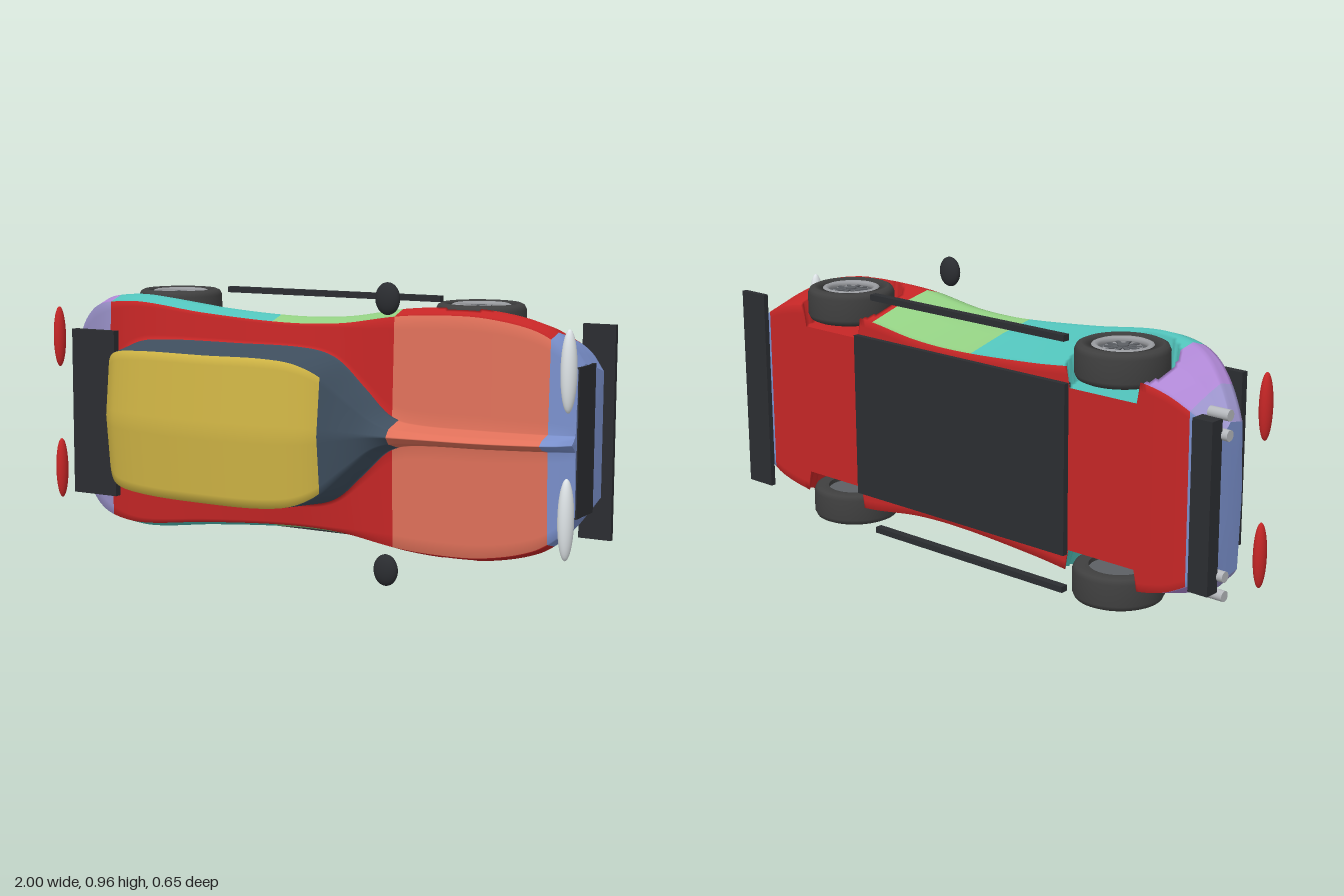
import * as THREE from 'three';

// The car lies on its side: length along x, width along y, roof towards +z.
const MID = 0.485;
const COLORS = {
  red: 0xc62626, coral: 0xe0715a, blue: 0x7a90cc, lilac: 0x9c94cc, violet: 0xb088d6,
  teal: 0x52c4bc, green: 0x93d083, slate: 0x3f4f5f, yellow: 0xd0b545,
  dark: 0x2b2d31, tyre: 0x404040, rim: 0x9a9ca0, hub: 0x5c5f64, white: 0xdfe5e8, chrome: 0xb5b8bc,
};
const mat = (c) => new THREE.MeshStandardMaterial({ color: COLORS[c] });

// Length-wise tables: [x, value]
const HALF_WIDTH = [[-0.97, 0.24], [-0.94, 0.275], [-0.88, 0.32], [-0.8, 0.365], [-0.7, 0.39], [-0.55, 0.4], [-0.3, 0.372],
  [0, 0.352], [0.2, 0.358], [0.4, 0.39], [0.55, 0.4], [0.7, 0.395], [0.85, 0.36], [0.93, 0.305], [0.975, 0.24]];
const BELT = [[-0.97, -0.13], [-0.85, -0.03], [-0.7, 0.06], [-0.55, 0.09], [-0.2, 0.08], [0.2, 0.055],
  [0.45, 0.045], [0.7, 0.025], [0.9, -0.015], [0.975, -0.04]];
const CABIN = [[-0.97, 0.02], [-0.8, 0.04], [-0.7, 0.14], [-0.6, 0.225], [-0.5, 0.255], [-0.15, 0.26], [0.1, 0.255],
  [0.2, 0.225], [0.3, 0.135], [0.38, 0.06], [0.46, 0.036], [0.7, 0.03], [0.975, 0.026]];
const ROOF = [[-0.97, 0.01], [-0.8, 0.02], [-0.7, 0.1], [-0.6, 0.2], [-0.5, 0.232], [-0.15, 0.24], [0.1, 0.235],
  [0.2, 0.2], [0.28, 0.12], [0.36, 0.045], [0.45, 0.02], [0.975, 0.014]];
const TOP = [[-0.97, -0.12], [-0.85, -0.01], [-0.74, 0.07], [-0.68, 0.12], [-0.62, 0.2], [-0.55, 0.26], [-0.4, 0.3],
  [-0.15, 0.32], [0.05, 0.303], [0.18, 0.265], [0.27, 0.205], [0.36, 0.158], [0.5, 0.138], [0.7, 0.118], [0.85, 0.08],
  [0.94, 0.04], [0.975, 0]];
const FLOOR = [[-0.97, -0.24], [-0.9, -0.26], [-0.75, -0.272], [0.9, -0.272], [0.975, -0.255]];
const WHEELS = [[-0.57, -0.18], [0.585, -0.18]];

// Smooth interpolation through a table
function sample(t, x) {
  let i = 0;
  while (i < t.length - 2 && x > t[i + 1][0]) i++;
  const slope = (a, b) => (t[b][1] - t[a][1]) / (t[b][0] - t[a][0]);
  const tangent = (k) => slope(Math.max(k - 1, 0), Math.min(k + 1, t.length - 1));
  const h = t[i + 1][0] - t[i][0], u = (x - t[i][0]) / h, u2 = u * u, u3 = u2 * u;
  return t[i][1] * (2 * u3 - 3 * u2 + 1) + h * tangent(i) * (u3 - 2 * u2 + u)
    + t[i + 1][1] * (3 * u2 - 2 * u3) + h * tangent(i + 1) * (u3 - u2);
}

// Half cross-section as [offset, z, band], from floor centre to roof centre
const STEPS = [12, 10, 8, 4, 8, 9, 8];
function halfSection(x) {
  const w = sample(HALF_WIDTH, x), belt = sample(BELT, x), floor = sample(FLOOR, x);
  const top = sample(TOP, x), c = sample(CABIN, x), r = Math.min(sample(ROOF, x), c - 0.004);
  const keys = [[0, floor], [w * 0.84, floor], [w * 0.94, (floor + belt) / 2 - 0.02], [w, belt - 0.06],
    [w * 0.95, belt], [c, belt + 0.01], [r, Math.max(top - 0.02, belt + 0.01)], [0, top]];
  const pts = [];
  STEPS.forEach((n, b) => {
    for (let k = 0; k < n; k++) {
      const u = k / n;
      pts.push([keys[b][0] + (keys[b + 1][0] - keys[b][0]) * u, keys[b][1] + (keys[b + 1][1] - keys[b][1]) * u, b]);
    }
  });
  pts.push([0, top, 6]);
  // Wheel wells
  for (const p of pts) for (const [wx, wz] of WHEELS) {
    if (p[2] < 4 && p[0] > 0.26 && Math.hypot(x - wx, p[1] - wz) < 0.165) p[0] = 0.26;
  }
  return pts;
}

// Panel colour by position along the car and band of the cross-section
function panelColor(x, band) {
  if (x > 0.89) return 'blue';
  if (x < -0.88) return band ? 'lilac' : 'blue';
  if (band === 0) return 'red';
  if (band < 4) return x > 0.39 ? 'red' : x > -0.04 ? 'green' : x > -0.69 ? 'teal' : 'violet';
  if (x < -0.69) return 'lilac';
  if (band === 4) return x > 0.39 ? 'coral' : 'red';
  if (x > 0.42) return 'coral';
  return band === 6 && x > -0.63 && x < 0.22 ? 'yellow' : 'slate';
}

function buildBody() {
  const N = 170, pos = [], all = [], faces = {};
  const xAt = (i) => -0.97 + 1.945 * i / N;
  let bands, ringSize;
  for (let i = 0; i <= N; i++) {
    const half = halfSection(xAt(i));
    const ring = [...half, ...half.slice(1, -1).reverse().map(([s, z, b]) => [-s, z, b])];
    ringSize = ring.length;
    const n = half.length - 1;
    bands = ring.map((_, j) => half[j < n ? j : 2 * n - 1 - j][2]);
    for (const [s, z] of ring) pos.push(xAt(i), MID + s, z);
  }
  const add = (color, ...idx) => { (faces[color] ??= []).push(...idx); all.push(...idx); };
  for (let i = 0; i < N; i++) for (let j = 0; j < ringSize; j++) {
    const k = (j + 1) % ringSize, a = i * ringSize + j, d = i * ringSize + k;
    const b = a + ringSize, c = d + ringSize;
    add(panelColor((xAt(i) + xAt(i + 1)) / 2, bands[j]), a, d, c, a, c, b);
  }
  // End caps get their own vertices for a crisp edge
  for (const [i, front] of [[0, false], [N, true]]) {
    const start = pos.length / 3;
    for (let j = 0; j < ringSize; j++) pos.push(...pos.slice((i * ringSize + j) * 3, (i * ringSize + j) * 3 + 3));
    pos.push(xAt(i) + (front ? 0.004 : -0.004), MID, front ? -0.13 : -0.18);
    for (let j = 0; j < ringSize; j++) {
      const a = start + j, b = start + (j + 1) % ringSize, m = start + ringSize;
      add('blue', m, front ? a : b, front ? b : a);
    }
  }
  const base = new THREE.BufferGeometry();
  base.setAttribute('position', new THREE.Float32BufferAttribute(pos, 3));
  base.setIndex(all);
  base.computeVertexNormals();
  const body = new THREE.Group();
  body.name = 'body';
  for (const [color, idx] of Object.entries(faces)) {
    const g = new THREE.BufferGeometry();
    g.setAttribute('position', base.attributes.position);
    g.setAttribute('normal', base.attributes.normal);
    g.setIndex(idx);
    const m = new THREE.Mesh(g, mat(color));
    m.name = color + 'Panels';
    body.add(m);
  }
  return body;
}

// Wheel with its axle along y and its outer face towards +y
function buildWheel() {
  const wheel = new THREE.Group();
  wheel.name = 'wheel';
  const part = (name, geo, color, y = 0) => {
    const m = new THREE.Mesh(geo, mat(color));
    m.name = name; m.position.y = y; wheel.add(m);
    return m;
  };
  const profile = [[0.095, -0.05], [0.125, -0.056], [0.138, -0.05], [0.145, -0.035], [0.145, 0.035], [0.138, 0.05],
    [0.125, 0.056], [0.095, 0.05], [0.095, -0.05]].map(([r, y]) => new THREE.Vector2(r, y));
  part('tyre', new THREE.LatheGeometry(profile, 48), 'tyre');
  part('wheelDisc', new THREE.CylinderGeometry(0.096, 0.096, 0.07, 40), 'hub');
  part('rimRing', new THREE.TorusGeometry(0.086, 0.012, 8, 40), 'rim', 0.042).rotation.x = Math.PI / 2;
  part('rimDish', new THREE.CylinderGeometry(0.06, 0.06, 0.01, 32), 'rim', 0.036);
  for (let i = 0; i < 10; i++) {
    const a = i * Math.PI / 5;
    const spoke = part('spoke', new THREE.BoxGeometry(0.055, 0.008, 0.012), 'hub', 0.041);
    spoke.position.x = 0.03 * Math.cos(a);
    spoke.position.z = -0.03 * Math.sin(a);
    spoke.rotation.y = a;
  }
  part('hubCap', new THREE.CylinderGeometry(0.018, 0.018, 0.014, 20), 'hub', 0.042);
  return wheel;
}

export function createModel() {
  const car = new THREE.Group();
  car.name = 'car';
  car.add(buildBody());
  const place = (name, geo, color, x, y, z) => {
    const m = new THREE.Mesh(geo, mat(color));
    m.name = name; m.position.set(x, y, z); car.add(m);
    return m;
  };
  const box = (name, x, y, z, sx, sy, sz) => place(name, new THREE.BoxGeometry(sx, sy, sz), 'dark', x, y, z);
  const blob = (name, color, x, y, z, rx, ry, rz) =>
    place(name, new THREE.SphereGeometry(1, 28, 20), color, x, y, z).scale.set(rx, ry, rz);

  // Flat aero parts
  box('grille', 0.967, MID, -0.108, 0.025, 0.47, 0.135);
  box('frontSplitter', 0.945, MID, -0.293, 0.11, 0.69, 0.018);
  box('floorPanel', 0.01, MID, -0.28, 0.9, 0.55, 0.028);
  box('rearSpoiler', -0.697, MID, 0.153, 0.175, 0.565, 0.026);
  box('rearDiffuser', -0.945, MID, -0.27, 0.07, 0.53, 0.05);

  // Paired parts, mirrored across the centre line
  for (const side of [1, -1]) {
    box('sideSkirt', 0, MID + side * 0.405, -0.25, 0.82, 0.02, 0.026);
    blob('mirror', 'dark', 0.4, MID + side * 0.431, 0.11, 0.042, 0.051, 0.024);
    blob('headlight', 'white', 0.966, MID + side * 0.228, 0.013, 0.025, 0.128, 0.029);
    blob('tailLight', 'red', -0.951, MID + side * 0.235, 0.02, 0.02, 0.106, 0.024);
    for (const off of [0.215, 0.275]) {
      place('exhaustPipe', new THREE.CylinderGeometry(0.017, 0.017, 0.07, 20), 'chrome',
        -0.965, MID + side * off, -0.235).rotation.z = Math.PI / 2;
    }
    for (const [x, z] of WHEELS) {
      const wheel = buildWheel();
      wheel.position.set(x, MID + side * 0.35, z);
      if (side < 0) wheel.rotation.x = Math.PI;
      car.add(wheel);
    }
  }
  return car;
}
